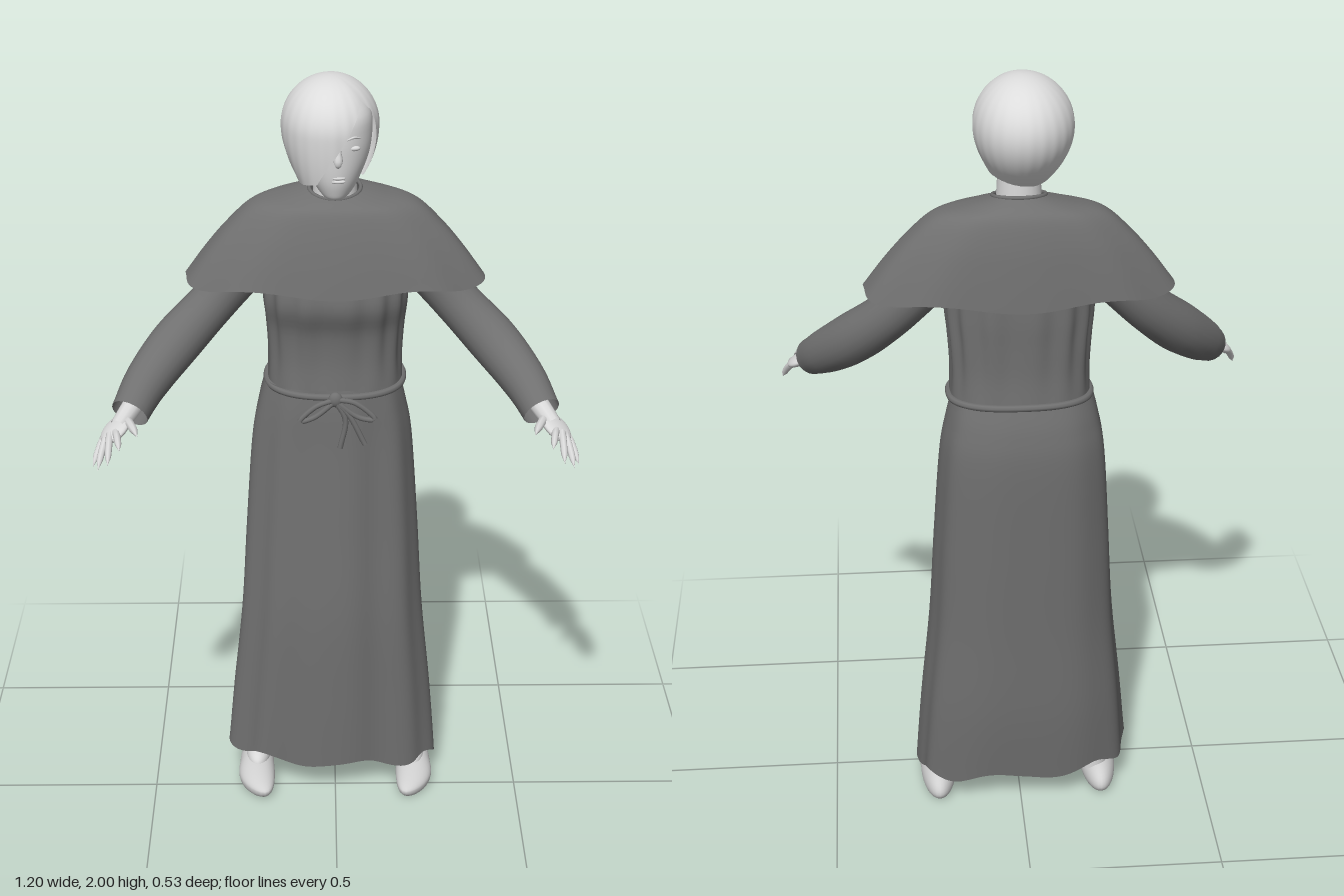
import * as THREE from 'three';

const flat = (name, color, side = THREE.FrontSide) => {
  const m = new THREE.MeshStandardMaterial({ color, side });
  m.name = name;
  return m;
};
const lerp = THREE.MathUtils.lerp;
const spow = (v, p) => Math.sign(v) * Math.abs(v) ** p;

// Smooth interpolation through rows of numbers, t from 0 to 1
function sample(rows, t) {
  const f = t * (rows.length - 1), i = Math.min(Math.floor(f), rows.length - 2), k = f - i;
  const at = (n) => rows[THREE.MathUtils.clamp(n, 0, rows.length - 1)];
  return rows[i].map((b, c) => {
    const a = at(i - 1)[c], d = at(i + 1)[c], e = at(i + 2)[c];
    return b + 0.5 * k * (d - a + k * (2 * a - 5 * b + 4 * d - e + k * (3 * (b - d) + e - a)));
  });
}

// Closed rings from top to bottom; u = 0 faces front and turns towards +x
function surface(fn, nu, nv) {
  const pos = [], idx = [];
  for (let i = 0; i <= nv; i++) {
    for (let j = 0; j < nu; j++) {
      pos.push(...fn((j / nu) * Math.PI * 2, i / nv));
      if (i === nv) continue;
      const a = i * nu + j, c = i * nu + ((j + 1) % nu);
      idx.push(a, a + nu, c, c, a + nu, c + nu);
    }
  }
  const g = new THREE.BufferGeometry();
  g.setAttribute('position', new THREE.Float32BufferAttribute(pos, 3));
  g.setIndex(idx);
  g.computeVertexNormals();
  return g;
}

// Rows of [y, half width, front z, back z]; fold and drop vary the rings
function loft(rows, nu, nv, p = 1, fold = () => 0, drop = () => 0) {
  return surface((u, t) => {
    const [y, rx, zf, zb] = sample(rows, t), k = 1 + fold(u, t);
    return [rx * k * spow(Math.sin(u), p), y + drop(u, t),
      (zf + zb) / 2 + ((zf - zb) / 2) * k * spow(Math.cos(u), p)];
  }, nu, nv);
}

// Tube with changing radius through points [x, y, z, r]
function limb(points, n = 20, sides = 12, closed = false) {
  const curve = new THREE.CatmullRomCurve3(points.map((q) => new THREE.Vector3(q[0], q[1], q[2])), closed);
  const g = new THREE.TubeGeometry(curve, n, 1, sides, closed);
  const pos = g.attributes.position, v = new THREE.Vector3();
  for (let i = 0; i <= n; i++) {
    const c = curve.getPointAt(i / n), r = sample(points.map((q) => [q[3]]), i / n)[0];
    for (let j = 0; j <= sides; j++) {
      const k = i * (sides + 1) + j;
      v.fromBufferAttribute(pos, k).sub(c).multiplyScalar(Math.max(r, 0.0005)).add(c);
      pos.setXYZ(k, v.x, v.y, v.z);
    }
  }
  return g;
}

export function createModel() {
  const robe = flat('robe cloth', 0x707070, THREE.DoubleSide);
  const skin = flat('skin', 0xd8d8d8, THREE.DoubleSide);
  const hairMat = flat('hair', 0xdcdcdc, THREE.DoubleSide);
  const shoeMat = flat('shoe', 0xd0d0d0);
  const model = new THREE.Group();
  const add = (name, geometry, material, parent = model) => {
    const m = new THREE.Mesh(geometry, material);
    m.name = name;
    parent.add(m);
    return m;
  };
  const ball = (name, at, size, material, parent) => {
    const m = add(name, new THREE.SphereGeometry(1, 24, 16).scale(...size), material, parent);
    m.position.set(...at);
    return m;
  };

  // Skirt with deepening folds, strongest in front, and an uneven hem
  const skirtFold = (u, t) => Math.sqrt(t) * (0.7 + 0.5 * Math.cos(u))
    * (0.03 * Math.sin(9 * u + 1.2 * t) + 0.02 * Math.sin(5 * u + 2));
  add('skirt', loft([
    [1.21, 0.172, 0.012, -0.235], [1.14, 0.19, 0.018, -0.255], [1.04, 0.207, 0.022, -0.265],
    [0.8, 0.224, 0.036, -0.26], [0.55, 0.239, 0.05, -0.252], [0.3, 0.264, 0.048, -0.245], [0.095, 0.281, 0.043, -0.226],
  ], 144, 40, 0.8, skirtFold, (u, t) => t ** 8 * (0.012 * Math.sin(7 * u) - 0.018 * Math.sin(u)))
    .translate(-0.008, 0, 0), robe);

  // Bodice with soft gathers
  add('bodice', loft([
    [1.62, 0.16, -0.01, -0.21], [1.54, 0.178, 0.015, -0.225], [1.44, 0.18, 0.036, -0.23],
    [1.36, 0.173, 0.012, -0.228], [1.28, 0.17, 0.006, -0.228], [1.2, 0.174, 0.012, -0.235],
  ], 120, 24, 0.8, (u, t) => 0.026 * Math.sin(t * Math.PI) * Math.sin(14 * u)), robe);

  // Shoulder cape, higher at the nape and narrowing over the sleeves
  add('cape', loft([
    [1.7, 0.066, -0.04, -0.16], [1.688, 0.125, -0.02, -0.19], [1.668, 0.205, -0.002, -0.212],
    [1.615, 0.268, 0.018, -0.23], [1.55, 0.325, 0.036, -0.242], [1.478, 0.378, 0.052, -0.252],
  ], 120, 30, 0.94, (u, t) => 0.012 * t * Math.sin(10 * u + 1),
  (u, t) => 0.024 * (1 - t) * (1 - Math.cos(u)) / 2 - 0.008 * t ** 3 * Math.cos(6 * u)), robe);
  add('collar', limb(Array.from({ length: 12 }, (_, i) => {
    const u = (i / 12) * Math.PI * 2;
    return [0.064 * Math.sin(u), 1.712 - 0.013 * Math.cos(u), -0.1 + 0.06 * Math.cos(u), 0.005];
  }), 48, 8, true), robe);

  // Rope belt with a bow and hanging tails
  const belt = new THREE.Group();
  belt.name = 'belt';
  model.add(belt);
  add('belt rope', limb(Array.from({ length: 24 }, (_, i) => {
    const u = (i / 24) * Math.PI * 2;
    return [0.175 * spow(Math.sin(u), 0.8), 1.205 - 0.01 * Math.cos(u), -0.112 + 0.128 * spow(Math.cos(u), 0.8), 0.009];
  }), 96, 8, true), robe, belt);
  ball('belt knot', [0, 1.193, 0.026], [0.018, 0.02, 0.013], robe, belt);
  [
    [[0, 1.195], [-0.05, 1.175], [-0.09, 1.135], [-0.055, 1.145], [0, 1.19]],
    [[0, 1.195], [0.05, 1.185], [0.1, 1.14], [0.06, 1.145], [0, 1.19]],
    [[0, 1.19], [0.025, 1.14], [0.012, 1.06]],
    [[0, 1.19], [0.035, 1.15], [0.075, 1.07]],
  ].forEach((path) => add('bow strand', limb(path.map(([x, y]) => [x, y, 0.03, 0.007]), 24, 8), robe, belt));

  // Head, from crown to chin
  const head = new THREE.Group();
  head.name = 'head';
  model.add(head);
  add('face', loft([
    [1.97, 0.002, -0.068, -0.072], [1.96, 0.05, -0.02, -0.14], [1.92, 0.085, 0.035, -0.165], [1.87, 0.09, 0.047, -0.165],
    [1.82, 0.082, 0.047, -0.14], [1.77, 0.062, 0.043, -0.11], [1.738, 0.044, 0.034, -0.08],
    [1.72, 0.024, 0.024, -0.03], [1.716, 0.001, 0.004, 0.002],
  ], 40, 32), skin, head);
  add('neck', new THREE.CylinderGeometry(0.05, 0.058, 0.14, 24), skin, head).position.set(0, 1.715, -0.095);
  add('nose', limb([[0.006, 1.866, 0.042, 0.005], [0.006, 1.84, 0.052, 0.008], [0.006, 1.82, 0.057, 0.011], [0.006, 1.808, 0.046, 0.004]], 12, 10), skin, head);
  for (const y of [1.779, 1.77]) ball('lip', [0.006, y, 0.039], [0.018, 0.005, 0.007], skin, head);
  for (const s of [-1, 1]) {
    ball('eyelid', [s * 0.042, 1.85, 0.029], [0.017, 0.007, 0.01], skin, head);
    add('eyebrow', limb([[s * 0.024, 1.871, 0.042, 0.002], [s * 0.044, 1.877, 0.034, 0.003], [s * 0.062, 1.871, 0.02, 0.001]], 10, 6), hairMat, head);
  }

  // Bobbed hair: the hemline by angle leaves a gap beside the swept fringe
  const hem = [[-180, 1.742], [-90, 1.748], [-40, 1.755], [-18, 1.765], [-6, 1.805], [10, 1.853], [24, 1.9],
    [38, 1.94], [50, 1.955], [62, 1.93], [69, 1.86], [77, 1.755], [180, 1.742]];
  const hemAt = (d) => {
    const i = Math.max(1, hem.findIndex((h) => h[0] >= d));
    const [a, b] = [hem[i - 1], hem[i]];
    return lerp(a[1], b[1], (d - a[0]) / (b[0] - a[0]));
  };
  add('hair', surface((u, t) => {
    const deg = THREE.MathUtils.radToDeg(u > Math.PI ? u - Math.PI * 2 : u), c = Math.cos(u);
    const y = 2 - (2 - hemAt(deg)) * (1 - Math.cos(t * Math.PI / 2));
    const taper = c > 0 ? lerp(0.42, 0.1, c) : lerp(0.42, 0.54, Math.sqrt(-c));
    let r = y > 1.88 ? Math.sqrt(Math.max(0, 1 - ((y - 1.88) / 0.12) ** 2)) : 1 - taper * ((1.88 - y) / 0.13) ** 2;
    const side = THREE.MathUtils.smoothstep(deg, 40, 52) * (1 - THREE.MathUtils.smoothstep(deg, 100, 170));
    r *= 1.01 - 0.03 * side + 0.004 * Math.sin(24 * u) * t;
    return [-0.01 + 0.12 * r * Math.sin(u), y, -0.08 + 0.148 * r * c];
  }, 240, 36), hairMat, head);

  for (const s of [1, -1]) {
    const side = s > 0 ? 'left' : 'right';
    // Sleeve, curving forward to the wrist
    const arm = new THREE.Group();
    arm.name = `${side}Arm`;
    model.add(arm);
    add('sleeve', limb([
      [s * 0.15, 1.56, -0.11, 0.056], [s * 0.235, 1.49, -0.108, 0.06], [s * 0.32, 1.402, -0.085, 0.06],
      [s * 0.405, 1.322, -0.032, 0.064], [s * 0.475, 1.25, 0.05, 0.058], [s * 0.51, 1.203, 0.122, 0.048],
    ], 36, 20), robe, arm);

    // Hand with spread fingers
    add('wrist', limb([[s * 0.485, 1.235, 0.075, 0.026], [s * 0.515, 1.205, 0.125, 0.025], [s * 0.535, 1.185, 0.16, 0.022]], 10, 12), skin, arm);
    const palm = ball('palm', [s * 0.543, 1.178, 0.162], [0.039, 0.015, 0.05], skin, arm);
    palm.rotation.set(0.4, s * 0.42, -s * 0.35, 'YXZ');
    [
      [[0.572, 1.155, 0.165], [0.597, 1.102, 0.217]],
      [[0.566, 1.16, 0.185], [0.582, 1.108, 0.25]],
      [[0.555, 1.168, 0.198], [0.555, 1.13, 0.27]],
      [[0.538, 1.178, 0.195], [0.527, 1.162, 0.255]],
      [[0.518, 1.192, 0.14], [0.484, 1.186, 0.226]],
    ].forEach(([a, b], i) => {
      const r = i === 4 ? 0.0115 : 0.0092, at = (t, k, lift) =>
        [s * lerp(a[0], b[0], t), lerp(a[1], b[1], t) + lift, lerp(a[2], b[2], t), k];
      add(i === 4 ? 'thumb' : 'finger',
        limb([at(-0.2, r, 0), at(0.25, r, 0.006), at(0.7, r * 0.95, 0.005), at(0.96, r * 0.8, 0), at(1, 0, 0)], 20, 8), skin, arm);
    });

    // Shoe, flat underneath and broad at the toes, with bare instep and ankle
    const foot = new THREE.Group();
    foot.name = `${side}Foot`;
    foot.position.set(s * 0.22, 0, -0.06);
    model.add(foot);
    const shoe = new THREE.SphereGeometry(1, 32, 24), p = shoe.attributes.position;
    for (let i = 0; i < p.count; i++) {
      const x = p.getX(i), y = p.getY(i), z = p.getZ(i), toe = Math.max(z, 0);
      p.setXYZ(i, x * (0.048 + 0.016 * toe) - s * 0.014 * toe ** 3,
        Math.max(0, 0.024 + y * (y > 0 ? 0.044 - 0.016 * z : 0.05)), z * 0.138 - s * x * toe * 0.025);
    }
    shoe.computeVertexNormals();
    add('shoe', shoe, shoeMat, foot);
    ball('instep', [-s * 0.004, 0.055, -0.02], [0.034, 0.034, 0.07], skin, foot);
    add('ankle', new THREE.CylinderGeometry(0.034, 0.034, 0.11, 20), skin, foot).position.set(-s * 0.014, 0.105, -0.055);
  }
  return model;
}
